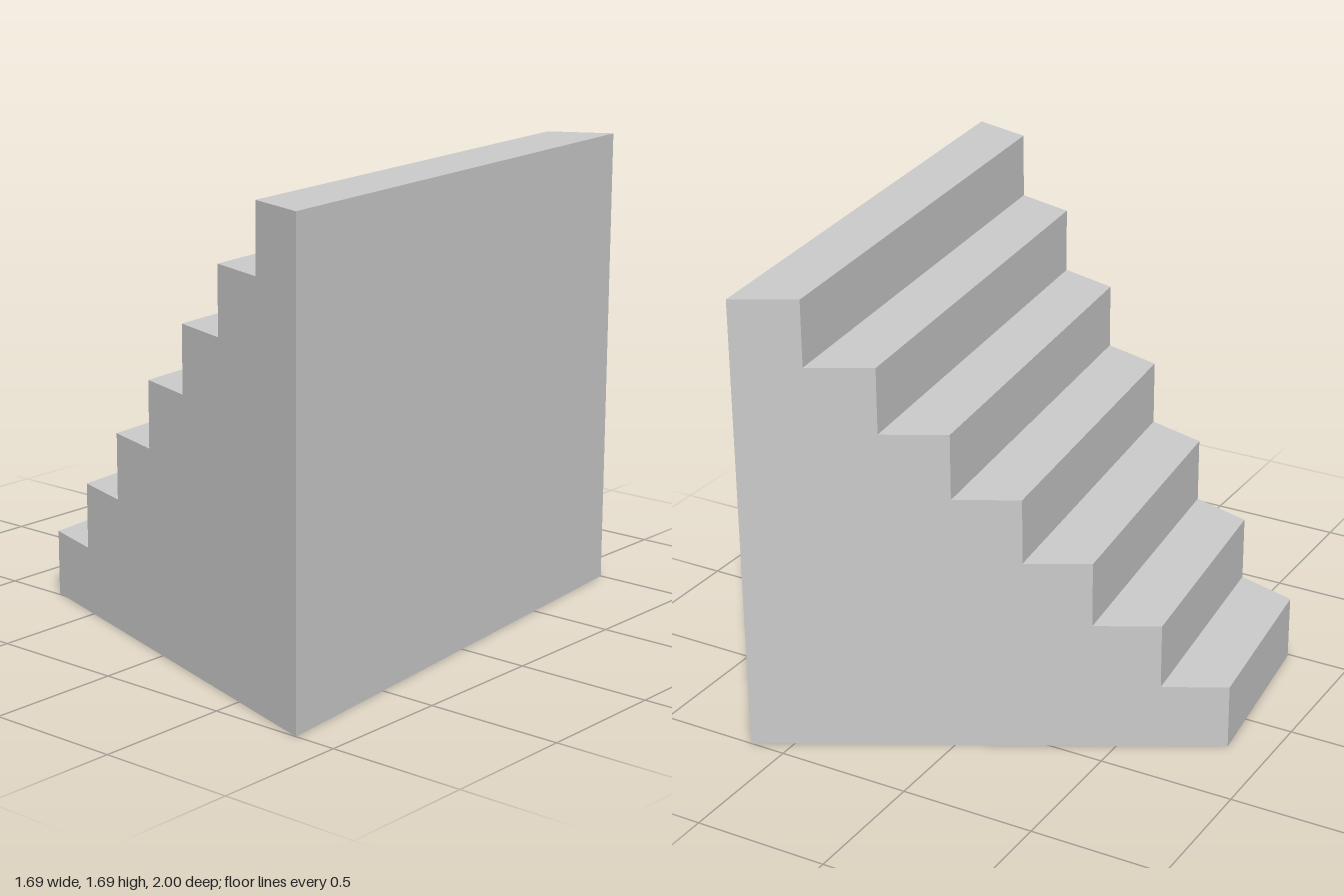
import * as THREE from 'three';

const STEPS = 7;
const HEIGHT = 1.69;

// Plan corners as [x, z]; low = foot of the stairs, high = tall wall
const lowBack = [-0.845, -0.2];
const lowFront = [-0.765, 0.49];
const highBack = [0.635, -1];
const highFront = [0.845, 1];

const lerp = THREE.MathUtils.lerp;

export function createModel() {
  const model = new THREE.Group();
  model.name = 'wedgeStaircase';

  // Stepped profile: u runs from foot (0) to tall wall (1)
  const profile = new THREE.Shape();
  profile.moveTo(0, 0);
  profile.lineTo(1, 0);
  profile.lineTo(1, HEIGHT);
  for (let i = STEPS - 1; i >= 0; i--) {
    const u = i / STEPS;
    profile.lineTo(u, (HEIGHT * (i + 1)) / STEPS);
    if (i > 0) profile.lineTo(u, (HEIGHT * i) / STEPS);
  }
  profile.closePath();

  const geometry = new THREE.ExtrudeGeometry(profile, { depth: 1, bevelEnabled: false });

  // Spread the unit-deep block over the four-sided plan
  const pos = geometry.attributes.position;
  for (let i = 0; i < pos.count; i++) {
    const u = pos.getX(i);
    const v = pos.getZ(i);
    const [x, z] = [0, 1].map((k) =>
      lerp(lerp(lowBack[k], highBack[k], u), lerp(lowFront[k], highFront[k], u), v));
    pos.setX(i, x);
    pos.setZ(i, z);
  }
  geometry.computeVertexNormals();

  const stairs = new THREE.Mesh(
    geometry,
    new THREE.MeshStandardMaterial({ color: 0xcccccc, flatShading: true })
  );
  stairs.name = 'stairs';
  model.add(stairs);
  return model;
}
